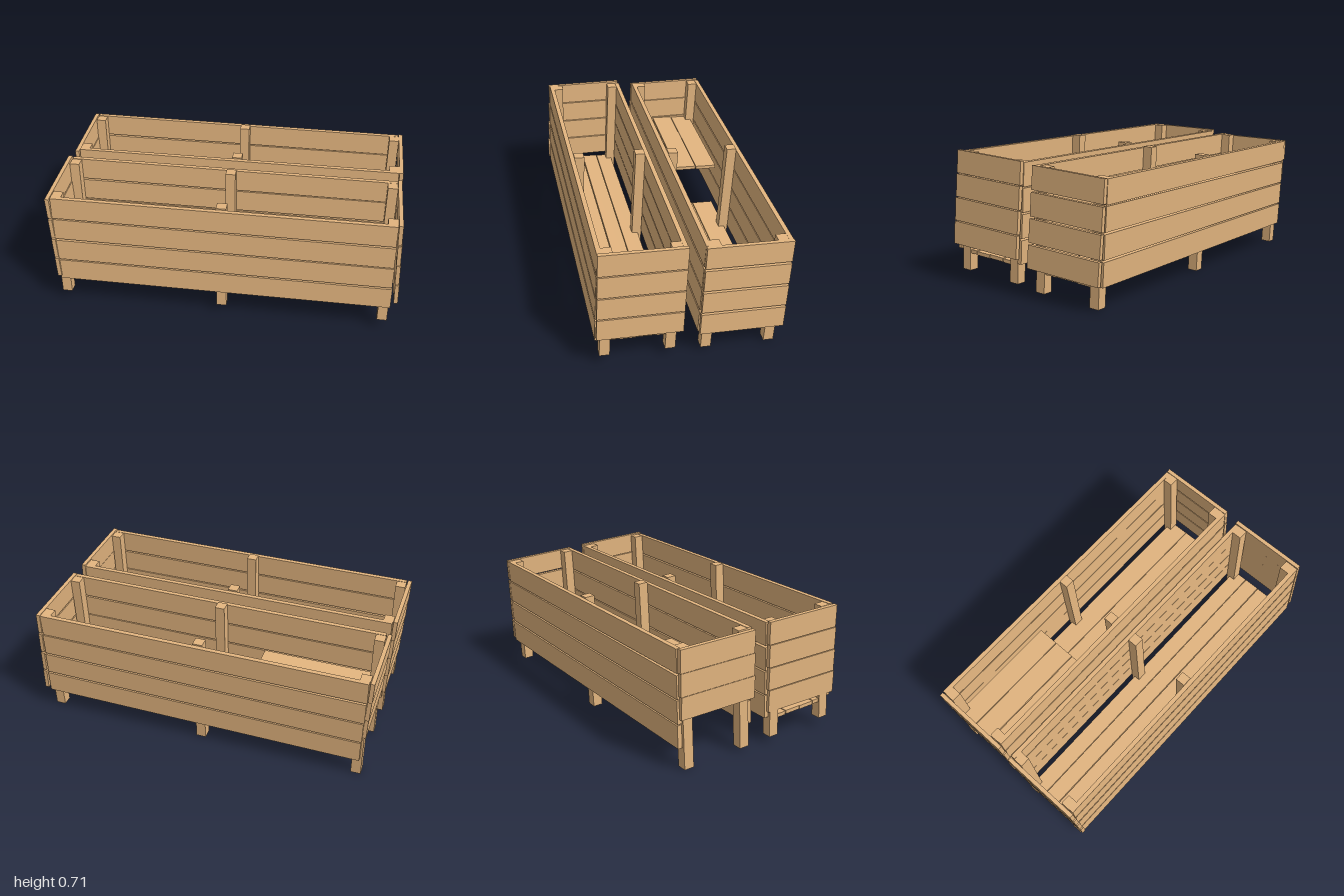
import * as THREE from 'three';

const wood = new THREE.MeshStandardMaterial({ color: 0xe3b57f, flatShading: true });
const PIVOT = 0.43; // height about which each crate tilts

function board(parent, name, w, h, d, x, y, z, tilt = [0, 0, 0]) {
  const m = new THREE.Mesh(new THREE.BoxGeometry(w, h, d), wood);
  m.name = name;
  m.position.set(x, y - PIVOT, z);
  m.rotation.set(...tilt);
  parent.add(m);
}

// ends: [top of the first board, pitch, count] for the right (+x) and left (-x) end
function planter({ name, x, z, top, legBottom, rightEnd, leftEnd, floors }) {
  const g = new THREE.Group();
  g.name = name;

  // four long boards on each side, slightly uneven
  for (const s of [-1, 1]) {
    for (let i = 0; i < 4; i++) {
      const wobble = 0.0015 * ((i * 2 + (s > 0 ? 1 : 0)) % 3 - 1);
      board(g, s > 0 ? 'frontBoard' : 'backBoard', 1.82, 0.125, 0.024,
        0.003 * i, top - 0.0625 - 0.133 * i, s * (0.21 + 0.001 * i), [0, 0, wobble]);
    }
    // corner and middle posts that run down into the legs
    for (const px of [-0.885, 0, 0.885]) {
      const h = top + (px === 0 ? 0.008 : -0.002) - legBottom;
      board(g, 'post', 0.054, h, 0.054, px, legBottom + h / 2, s * 0.171);
    }
  }

  // end boards, each row stepping a little towards +x
  for (const [s, [t, pitch, count]] of [[1, rightEnd], [-1, leftEnd]]) {
    for (let i = 0; i < count; i++) {
      board(g, s > 0 ? 'rightEndBoard' : 'leftEndBoard', 0.022, 0.121, 0.444,
        s * 0.925 + 0.006 * i, t - 0.06 - pitch * i, s < 0 ? 0.004 + 0.003 * i : 0,
        [s < 0 ? 0.03 : 0, 0, 0.03]);
    }
  }

  // floor slats, leaving a narrow slot along the back wall
  for (const [x0, x1, y, slats] of floors) {
    const width = 0.375 / slats;
    for (let i = 0; i < slats; i++) {
      board(g, 'floorSlat', x1 - x0, 0.02, width - 0.004,
        (x0 + x1) / 2, y + 0.002 * (i % 2), -0.179 + width * (i + 0.5));
    }
  }

  g.position.set(x, PIVOT, z);
  g.rotation.set(-0.055, 0.122, 0.004, 'YXZ');
  return g;
}

export function createModel() {
  const model = new THREE.Group();
  model.name = 'planterBoxes';
  model.add(
    planter({
      name: 'frontPlanter', x: 0.025, z: 0.267, top: 0.684, legBottom: 0.048,
      rightEnd: [0.69, 0.126, 4], leftEnd: [0.686, 0.126, 4],
      floors: [[-0.905, 0.905, 0.15, 4]],
    }),
    // the back planter has a raised floor and an open lower end on one side
    planter({
      name: 'backPlanter', x: -0.03, z: -0.26, top: 0.654, legBottom: 0.011,
      rightEnd: [0.655, 0.132, 4], leftEnd: [0.65, 0.124, 3],
      floors: [[-0.905, -0.25, 0.385, 3], [-0.25, 0.905, 0.122, 3]],
    }),
  );
  return model;
}
